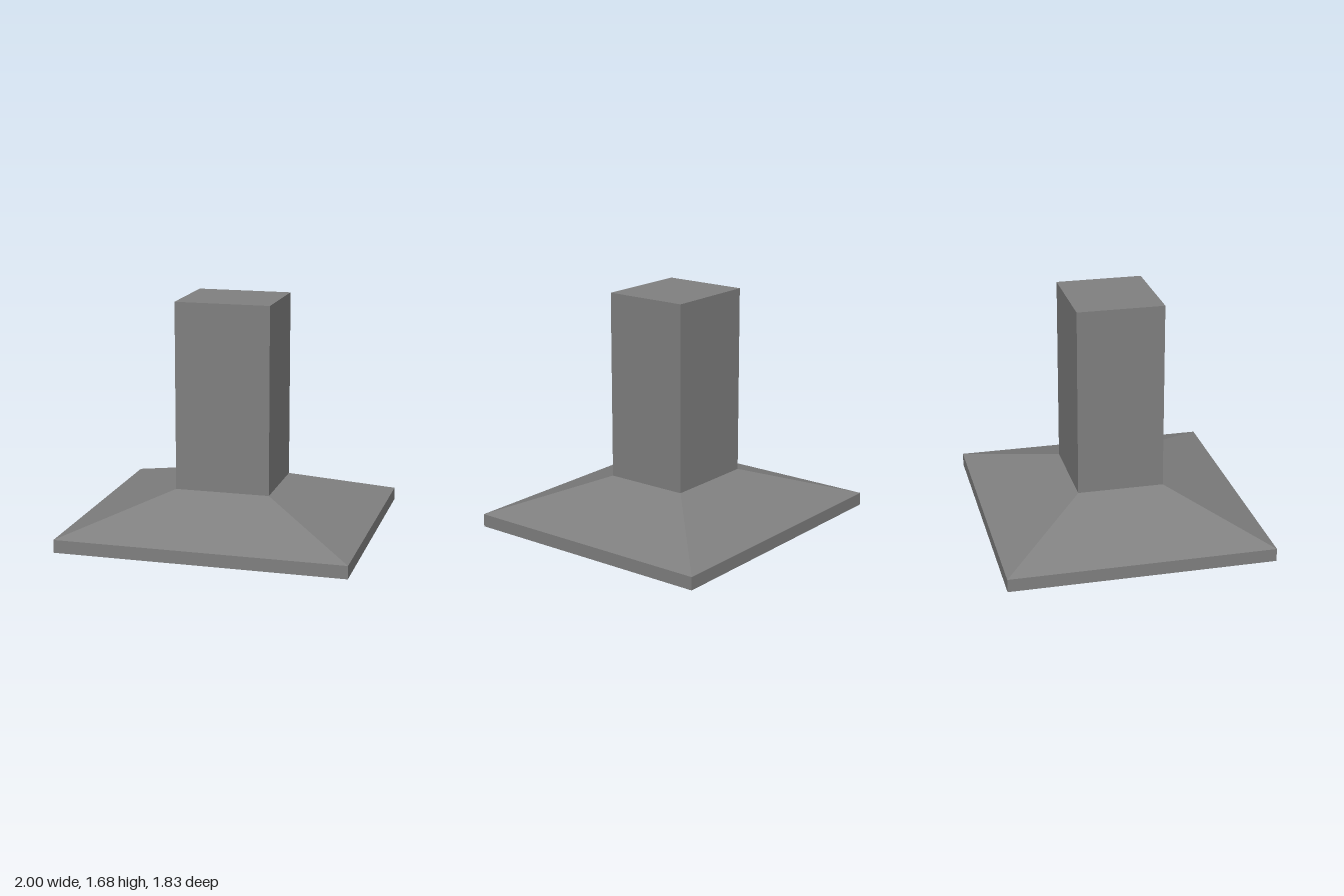
import * as THREE from 'three';

const material = new THREE.MeshStandardMaterial({
  color: 0x808080, flatShading: true, side: THREE.DoubleSide,
});

// Thin sheet joining rectangular rings [halfX, halfZ, y], listed from bottom to top
function sheet(name, rings) {
  const corner = ([x, z, y], i) => [[x, y, z], [x, y, -z], [-x, y, -z], [-x, y, z]][i % 4];
  const positions = [];
  for (let r = 0; r < rings.length - 1; r++) {
    for (let i = 0; i < 4; i++) {
      const a = corner(rings[r], i), b = corner(rings[r], i + 1);
      const c = corner(rings[r + 1], i + 1), d = corner(rings[r + 1], i);
      positions.push(...a, ...b, ...c, ...a, ...c, ...d);
    }
  }
  const geometry = new THREE.BufferGeometry();
  geometry.setAttribute('position', new THREE.Float32BufferAttribute(positions, 3));
  geometry.computeVertexNormals();
  const mesh = new THREE.Mesh(geometry, material);
  mesh.name = name;
  return mesh;
}

// Flat horizontal panel; facing is 1 for up, -1 for down
function panel(name, width, depth, y, z, facing) {
  const mesh = new THREE.Mesh(new THREE.PlaneGeometry(width, depth), material);
  mesh.name = name;
  mesh.rotation.x = -facing * Math.PI / 2;
  mesh.position.set(0, y, z);
  return mesh;
}

export function createModel() {
  const hood = new THREE.Group();
  hood.name = 'rangeHood';

  const outer = [1, 0.913], frame = [0.843, 0.77], flue = [0.33, 0.3];
  const rimBottom = 0.05, rimTop = 0.14, flueBottom = 0.373, flueTop = 1.68;

  // Hollow chimney, closed at the top
  hood.add(sheet('chimney', [[...flue, flueBottom], [...flue, flueTop]]));
  hood.add(panel('chimneyTop', flue[0] * 2, flue[1] * 2, flueTop, 0, 1));

  // Sloping canopy, and the rim with its underside ledge
  hood.add(sheet('canopy', [[...outer, rimTop], [...flue, flueBottom]]));
  hood.add(sheet('rim', [[...frame, rimBottom], [...outer, rimBottom], [...outer, rimTop]]));

  // Filter frame hanging below the rim
  hood.add(sheet('filterFrame', [[...frame, 0], [...frame, rimTop]]));

  // Thin filter slats running from side to side
  const slats = new THREE.Group();
  slats.name = 'filterSlats';
  const count = 6, pitch = (frame[1] * 2) / (count + 1);
  for (let i = 1; i <= count; i++) {
    slats.add(panel('slat' + i, frame[0] * 2, 0.12, 0, -frame[1] + i * pitch, -1));
  }
  hood.add(slats);

  return hood;
}
